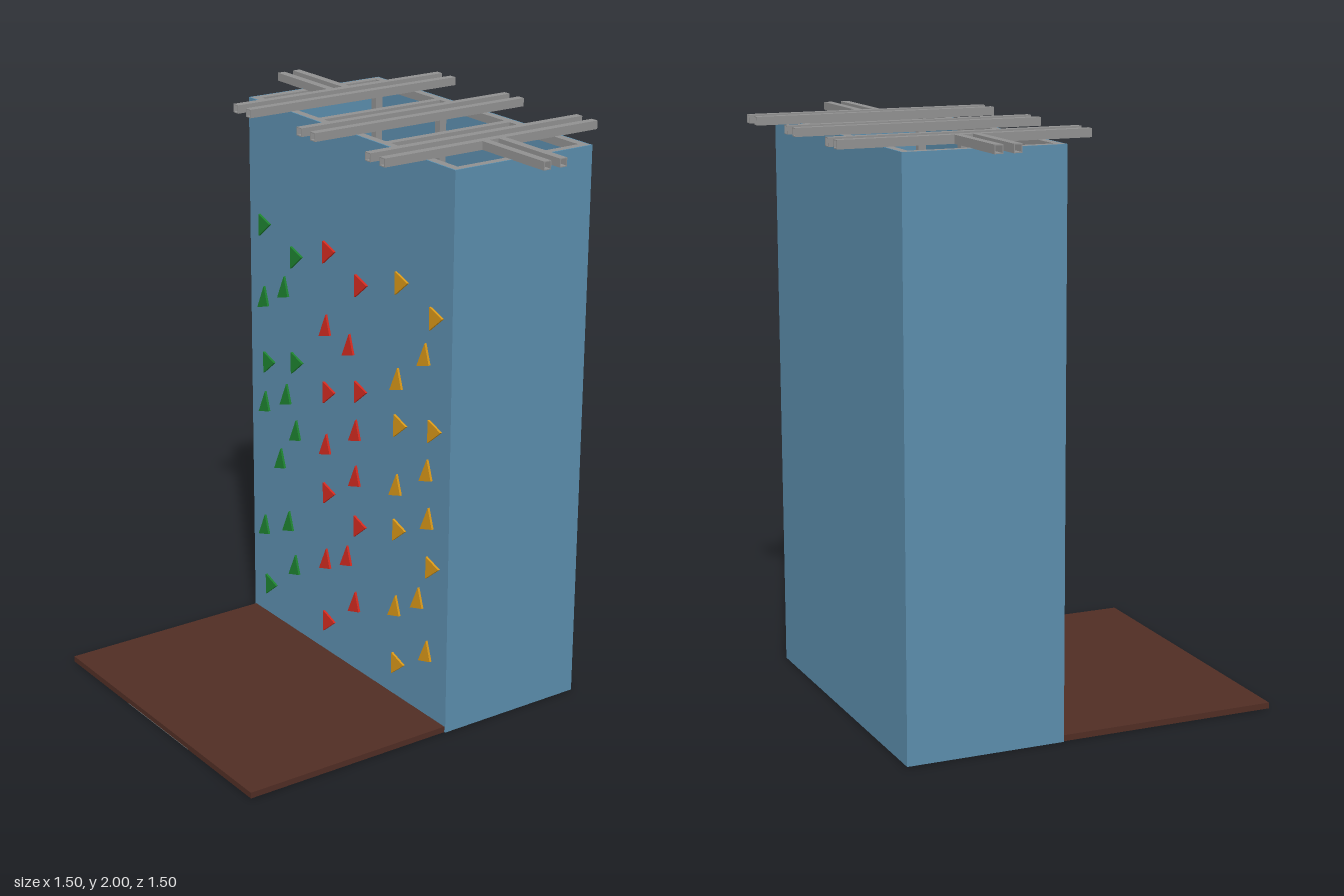
import * as THREE from 'three';

const mat = (name, color) => {
  const m = new THREE.MeshStandardMaterial({ color });
  m.name = name;
  return m;
};

export function createModel() {
  const blue = mat('panelBlue', 0x5b8dac);
  const brown = mat('matBrown', 0x502d24);
  const grey = mat('steelGrey', 0x909090);
  const green = mat('holdGreen', 0x1e8230);
  const red = mat('holdRed', 0xd22a20);
  const yellow = mat('holdYellow', 0xd69618);

  const model = new THREE.Group();
  model.name = 'climbingTower';

  const add = (name, geometry, material, x = 0, y = 0, z = 0) => {
    const mesh = new THREE.Mesh(geometry, material);
    mesh.name = name;
    mesh.position.set(x, y, z);
    model.add(mesh);
    return mesh;
  };
  // box given by its minimum and maximum corners
  const box = (name, material, x0, x1, y0, y1, z0, z1) =>
    add(name, new THREE.BoxGeometry(x1 - x0, y1 - y0, z1 - z0), material,
      (x0 + x1) / 2, (y0 + y1) / 2, (z0 + z1) / 2);

  // tower extents
  const X0 = 0.035, X1 = 0.591, Z = 0.595, H = 1.972, T = 0.005, B = 0.028;

  // thin cladding on four sides
  box('climbingPanel', blue, X0, X0 + T, 0, H, -Z, Z);
  box('sidePanel', blue, X1 - T, X1, 0, H, -Z, Z);
  for (const s of [-1, 1]) {
    const c = s * (Z - T / 2);
    box('endPanel', blue, X0 + T, X1 - T, 0, H, c - T / 2, c + T / 2);
  }

  // inner frame: posts, long rails and cross rails
  const fx0 = X0 + T, fx1 = X1 - T, fz = Z - T;
  const stations = [-fz + B / 2, -0.193, 0.193, fz - B / 2];
  for (const x of [fx0, fx1 - B]) {
    for (const z of stations) box('post', grey, x, x + B, B, H - B, z - B / 2, z + B / 2);
    for (const y of [0, H - B]) box('longRail', grey, x, x + B, y, y + B, -fz, fz);
  }
  for (const y of [0, H - B])
    for (const z of stations) box('crossRail', grey, fx0 + B, fx1 - B, y, y + B, z - B / 2, z + B / 2);

  // floor covers two of the three bays
  box('innerFloor', brown, fx0 + B, fx1 - B, -0.0, 0.02, -fz + B, 0.179);
  box('innerFloorUnderside', brown, fx0 + B / 2, fx1 - B / 2, -0.001, 0.001, -fz + B / 2, 0.2);

  // landing mat with a bare middle strip underneath
  box('landingMat', brown, -0.746, X0, 0.002, 0.021, -0.59, 0.59);
  for (const s of [-1, 1]) {
    const c = s * 0.395;
    box('matUnderside', brown, -0.746, X0, 0, 0.002, c - 0.195, c + 0.195);
  }
  box('matBase', grey, -0.746, X0, 0, 0.002, -0.2, 0.2);

  // hollow square tubes on the roof
  const tube = (length) => {
    const square = (P, r) => new P([[-r, -r], [r, -r], [r, r], [-r, r]].map(([a, b]) => new THREE.Vector2(a, b)));
    const shape = square(THREE.Shape, 0.0145);
    shape.holes.push(square(THREE.Path, 0.0115));
    return new THREE.ExtrudeGeometry(shape, { depth: length, bevelEnabled: false });
  };
  const tubeY = 2 - 0.0145;
  for (const s of [-1, 1]) {
    for (const z of [0.039, 0.349, 0.427])
      add('roofTube', tube(0.867), grey, -0.125, tubeY, s * z).rotation.y = Math.PI / 2;
    for (const x of [0.275, 0.339])
      add('endTube', tube(0.31), grey, x, tubeY, s > 0 ? 0.442 : -0.752);
  }

  // climbing holds: [z, y] centres of side-pointing and upright triangles
  const holdGeometry = (points) => {
    const g = new THREE.ExtrudeGeometry(
      new THREE.Shape(points.map(([a, b]) => new THREE.Vector2(a, b))),
      { depth: 0.008, bevelEnabled: false });
    return g.rotateY(-Math.PI / 2);
  };
  const side = holdGeometry([[-0.03, -0.045], [0.04, 0.012], [-0.03, 0.035]]);
  const upright = holdGeometry([[-0.035, -0.045], [0.032, -0.025], [0.008, 0.045]]);
  const routes = [
    ['greenHold', green,
      [[-0.5, 1.53], [-0.3, 1.46], [-0.3, 1.07], [-0.48, 1.02], [-0.48, 0.14]],
      [[-0.38, 1.33], [-0.51, 1.26], [-0.37, 0.93], [-0.51, 0.86], [-0.31, 0.81], [-0.41, 0.67],
        [-0.36, 0.44], [-0.52, 0.37], [-0.32, 0.28]]],
    ['redHold', red,
      [[-0.1, 1.53], [0.09, 1.46], [0.09, 1.08], [-0.1, 1.02], [-0.1, 0.64], [0.09, 0.58], [-0.1, 0.14]],
      [[-0.12, 1.26], [0.02, 1.23], [0.06, 0.93], [-0.12, 0.82], [0.06, 0.76], [0.01, 0.44],
        [-0.12, 0.38], [0.06, 0.28]]],
    ['yellowHold', yellow,
      [[0.32, 1.53], [0.51, 1.46], [0.51, 1.07], [0.32, 1.03], [0.32, 0.65], [0.51, 0.58], [0.32, 0.145]],
      [[0.45, 1.32], [0.3, 1.19], [0.47, 0.92], [0.3, 0.81], [0.48, 0.75], [0.43, 0.44],
        [0.3, 0.36], [0.48, 0.26]]],
  ];
  for (const [name, material, sides, uprights] of routes) {
    for (const [z, y] of sides) add(name, side, material, X0, y, z);
    for (const [z, y] of uprights) add(name, upright, material, X0, y, z);
  }

  // small red marker inside the climbing panel near the top
  box('innerMarker', red, fx0, fx0 + 0.006, 1.88, H - B, -0.4, -0.34);

  // the whole tower stands very slightly turned
  model.rotation.y = -0.007;
  return model;
}
